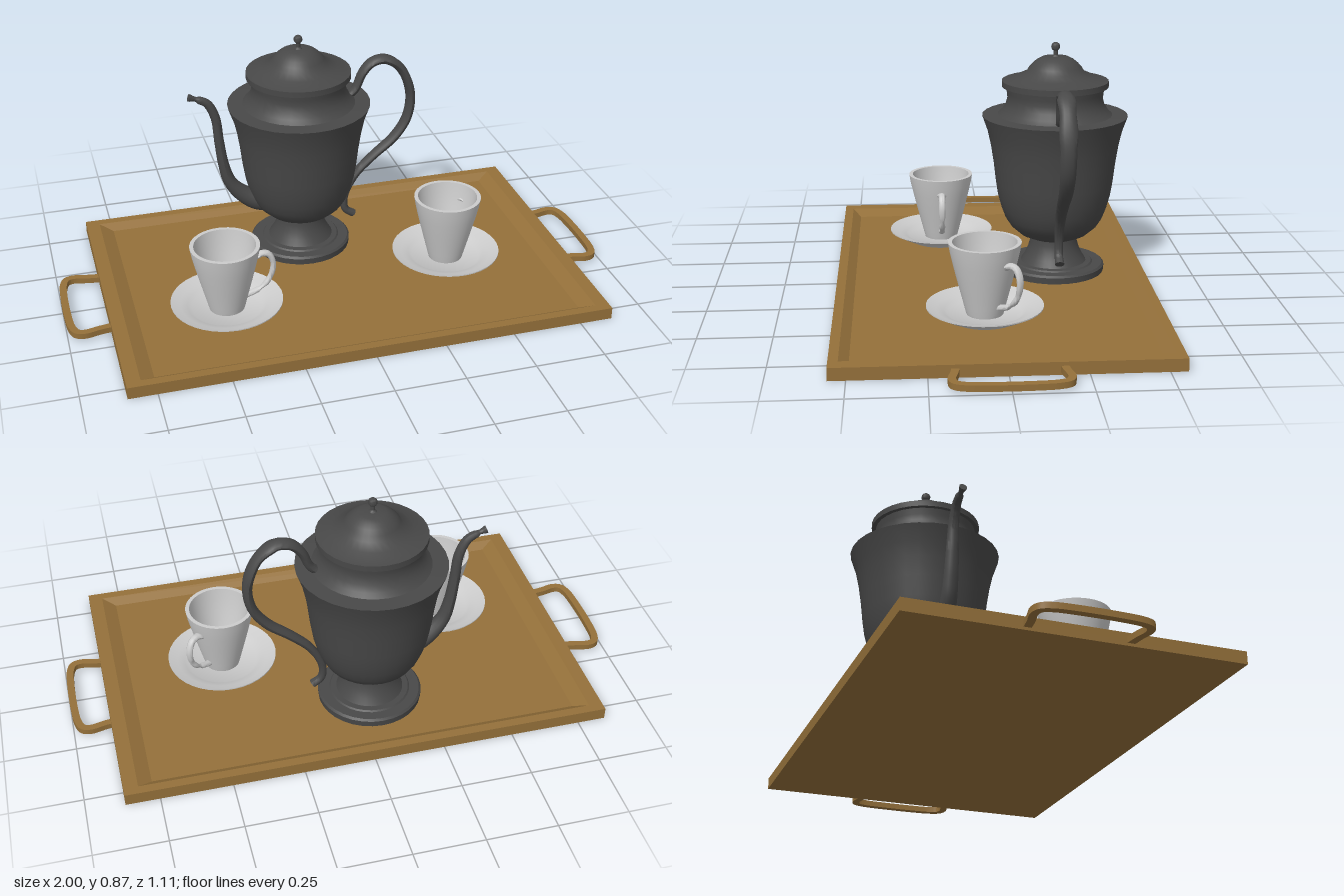
import * as THREE from 'three';
import { toCreasedNormals } from 'three/addons/utils/BufferGeometryUtils.js';

const wood = new THREE.MeshStandardMaterial({ color: 0x94703a });
const darkMetal = new THREE.MeshStandardMaterial({ color: 0x484848 });
const china = new THREE.MeshStandardMaterial({ color: 0xcccccc });

function part(name, geometry, material, crease = 0.65) {
  const mesh = new THREE.Mesh(toCreasedNormals(geometry, crease), material);
  mesh.name = name;
  return mesh;
}

// Turned solid; the [radius, y] profile runs upward along the outside.
function turned(profile, segments = 40, start = 0) {
  return new THREE.LatheGeometry(profile.map(([r, y]) => new THREE.Vector2(r, y)), segments, start);
}

// Tapered bar along a path in the xy plane; points are [x, y, in-plane half width, z half width].
function sweep(points, steps = 48, sides = 12, turn = 0) {
  const path = new THREE.CatmullRomCurve3(points.map(p => new THREE.Vector3(p[0], p[1], 0)));
  const size = new THREE.CatmullRomCurve3(points.map(p => new THREE.Vector3(p[2], p[3], 0)));
  const pos = [], index = [];
  for (let i = 0; i <= steps; i++) {
    const c = path.getPoint(i / steps), t = path.getTangent(i / steps), s = size.getPoint(i / steps);
    for (let j = 0; j < sides; j++) {
      const a = turn + j / sides * Math.PI * 2, n = Math.cos(a) * s.x;
      pos.push(c.x - t.y * n, c.y + t.x * n, Math.sin(a) * s.y);
    }
  }
  for (let j = 0; j < sides; j++) {
    const k = (j + 1) % sides, e = steps * sides;
    for (let i = 0; i < steps; i++) {
      const p = i * sides, q = p + sides;
      index.push(p + j, p + k, q + j, p + k, q + k, q + j);
    }
    if (j > 0 && j < sides - 1) index.push(0, k, j, e, e + j, e + k);
  }
  const g = new THREE.BufferGeometry();
  g.setAttribute('position', new THREE.Float32BufferAttribute(pos, 3));
  g.setIndex(index);
  return g;
}

function makeTray() {
  const tray = new THREE.Group();
  tray.name = 'tray';
  // Rectangular board with a shallow sunken floor
  const w = Math.SQRT2;
  const board = turned([[0, 0], [w, 0], [w, 0.043], [w * 0.942, 0.043], [w * 0.885, 0.022], [0, 0.022]], 4, Math.PI / 4);
  board.scale(0.859, 1, 0.557);
  const boardMesh = part('trayBoard', board, wood, 0.2);
  boardMesh.position.x = 0.009;
  tray.add(boardMesh);
  // Flat loop handles at both ends
  const a = 0.018, b = 0.0145;
  const half = [[0.84, 0.165], [0.89, 0.172], [0.94, 0.182], [0.967, 0.173], [0.981, 0.14], [0.987, 0.07]];
  const loop = [...half.map(([x, z]) => [x, -z, a, b]), ...half.reverse().map(([x, z]) => [x, z, a, b])];
  for (const side of [1, -1]) {
    const handle = part(side > 0 ? 'leftTrayHandle' : 'rightTrayHandle', sweep(loop, 60, 4, Math.PI / 4), wood, 0.5);
    handle.rotation.set(Math.PI / 2, 0, side > 0 ? 0 : Math.PI);
    handle.position.set(0, 0.02, -0.003);
    tray.add(handle);
  }
  return tray;
}

function makePot() {
  const pot = new THREE.Group();
  pot.name = 'coffeePot';
  // Foot, urn-shaped body and neck
  pot.add(part('potBody', turned([
    [0, 0.022], [0.185, 0.022], [0.187, 0.045], [0.18, 0.052], [0.145, 0.052], [0.14, 0.057], [0.12, 0.058],
    [0.106, 0.08], [0.094, 0.105], [0.087, 0.13], [0.086, 0.148], [0.125, 0.165], [0.159, 0.195],
    [0.178, 0.225], [0.192, 0.262], [0.205, 0.31], [0.213, 0.36], [0.221, 0.43], [0.231, 0.495],
    [0.243, 0.55], [0.263, 0.607], [0.207, 0.61], [0.192, 0.624], [0.179, 0.645], [0.172, 0.67],
    [0.174, 0.69], [0.178, 0.715], [0, 0.715]], 32), darkMetal));
  // Domed lid with a ball knob
  pot.add(part('potLid', turned([
    [0, 0.712], [0.192, 0.712], [0.192, 0.733], [0.178, 0.735], [0.14, 0.749], [0.104, 0.765],
    [0.094, 0.782], [0.08, 0.797], [0.065, 0.809], [0.047, 0.818], [0.014, 0.819], [0.008, 0.826],
    [0.008, 0.842], [0, 0.845]], 32), darkMetal));
  const knob = part('lidKnob', new THREE.SphereGeometry(0.016, 16, 12), darkMetal);
  knob.position.y = 0.855;
  pot.add(knob);
  // S-curved handle and spout
  pot.add(part('potHandle', sweep([
    [0.17, 0.6, 0.014, 0.018], [0.213, 0.63, 0.015, 0.02], [0.243, 0.695, 0.016, 0.024],
    [0.28, 0.733, 0.017, 0.027], [0.33, 0.74, 0.017, 0.028], [0.39, 0.697, 0.017, 0.028],
    [0.43, 0.595, 0.017, 0.028], [0.42, 0.495, 0.017, 0.027], [0.372, 0.418, 0.017, 0.025],
    [0.286, 0.345, 0.016, 0.022], [0.217, 0.275, 0.015, 0.019], [0.176, 0.19, 0.014, 0.016],
    [0.179, 0.132, 0.014, 0.015], [0.211, 0.107, 0.015, 0.017]], 72), darkMetal));
  pot.add(part('potSpout', sweep([
    [-0.13, 0.22, 0.045, 0.045], [-0.175, 0.23, 0.04, 0.04], [-0.225, 0.262, 0.032, 0.034],
    [-0.268, 0.317, 0.024, 0.029], [-0.289, 0.39, 0.02, 0.026], [-0.302, 0.485, 0.018, 0.023],
    [-0.313, 0.585, 0.017, 0.019], [-0.34, 0.643, 0.016, 0.016], [-0.372, 0.662, 0.014, 0.014],
    [-0.407, 0.675, 0.014, 0.014]], 60), darkMetal));
  pot.position.set(-0.064, 0, -0.236);
  return pot;
}

function makeCup(name, x, z, turn) {
  const set = new THREE.Group();
  set.name = name;
  set.add(part('saucer', turned([
    [0, 0.022], [0.115, 0.022], [0.125, 0.03], [0.16, 0.044], [0.199, 0.065], [0.199, 0.069],
    [0.165, 0.057], [0.14, 0.05], [0.125, 0.04], [0, 0.036]]), china));
  // Hollow cup
  set.add(part('cup', turned([
    [0, 0.036], [0.062, 0.036], [0.066, 0.05], [0.071, 0.07], [0.084, 0.12], [0.098, 0.175], [0.109, 0.22],
    [0.118, 0.26], [0.123, 0.29], [0.109, 0.29], [0.104, 0.25], [0.094, 0.2], [0.08, 0.14],
    [0.067, 0.095], [0.045, 0.072], [0, 0.065]]), china));
  set.add(part('cupHandle', sweep([
    [0.1, 0.222, 0.011, 0.014], [0.125, 0.235, 0.011, 0.014], [0.152, 0.231, 0.011, 0.013],
    [0.169, 0.2, 0.01, 0.013], [0.166, 0.155, 0.01, 0.012], [0.145, 0.115, 0.01, 0.012],
    [0.113, 0.09, 0.01, 0.012], [0.07, 0.075, 0.011, 0.013]], 36), china));
  set.position.set(x, 0, z);
  set.rotation.y = turn;
  return set;
}

export function createModel() {
  const model = new THREE.Group();
  model.name = 'coffeeTray';
  model.add(makeTray(), makePot(), makeCup('rightCupSet', -0.437, 0.168, 0), makeCup('leftCupSet', 0.425, 0.048, 0.68));
  return model;
}
